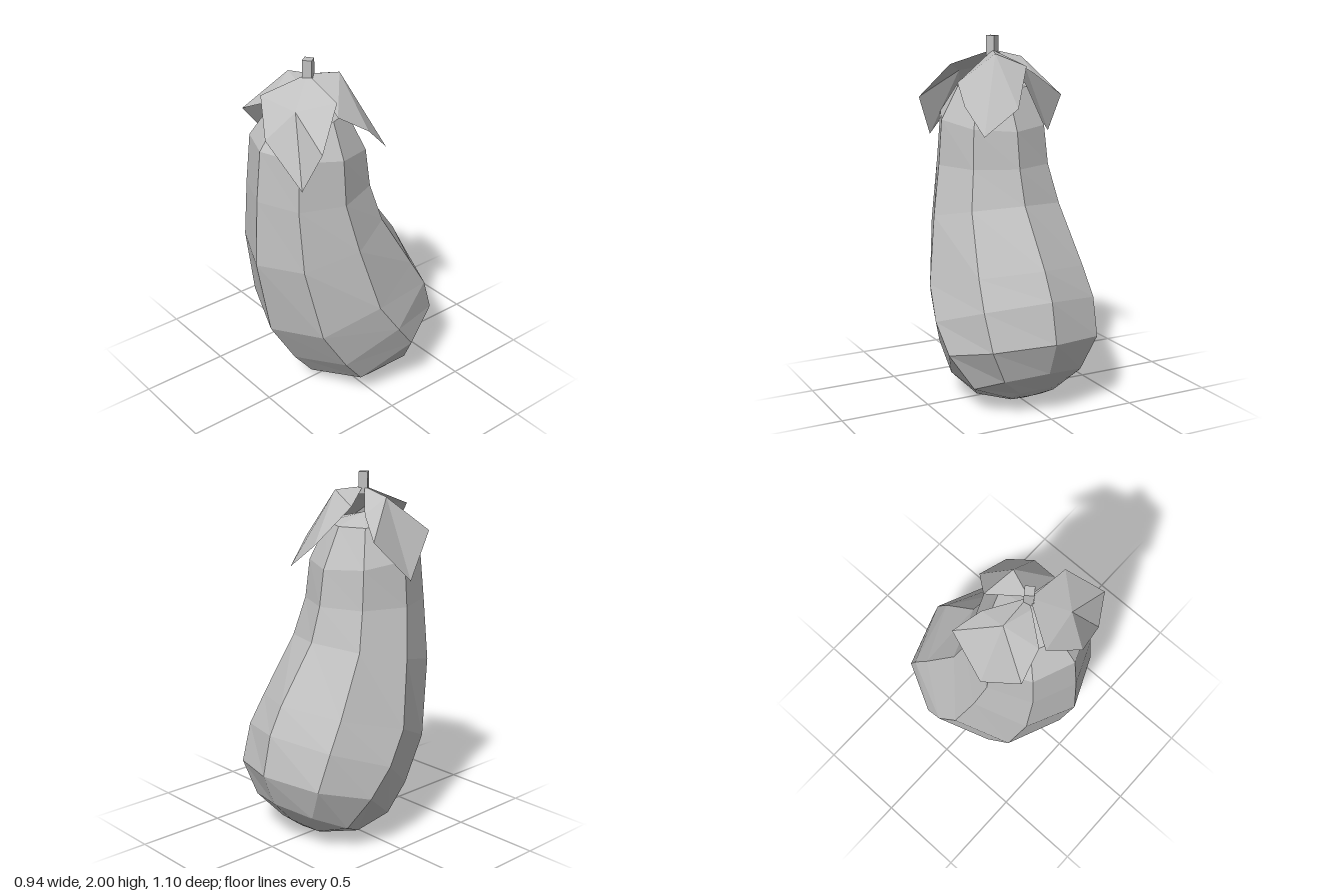
import * as THREE from 'three';

const grey = new THREE.MeshStandardMaterial({ color: 0xc0c0c0, flatShading: true, side: THREE.DoubleSide });
grey.name = 'pale grey';

const v = (x, y, z) => new THREE.Vector3(x, y, z);

// Flat-shaded mesh from a list of triangles
function facetMesh(name, tris) {
  const geometry = new THREE.BufferGeometry().setFromPoints(tris.flat());
  geometry.computeVertexNormals();
  const mesh = new THREE.Mesh(geometry, grey);
  mesh.name = name;
  return mesh;
}

// Fruit: tilted eight-sided rings; each gives front, middle and back as [z, y] plus half width
function makeFruit() {
  const sections = [
    [[0.39, 1.72], [0.19, 1.73], [0.00, 1.72], 0.21],
    [[0.50, 1.58], [0.20, 1.55], [-0.11, 1.50], 0.305],
    [[0.53, 1.30], [0.20, 1.30], [-0.14, 1.30], 0.325],
    [[0.55, 0.92], [0.15, 1.03], [-0.20, 1.11], 0.38],
    [[0.47, 0.47], [0.06, 0.67], [-0.42, 0.80], 0.45],
    [[0.31, 0.20], [-0.06, 0.49], [-0.50, 0.65], 0.472],
    [[0.19, 0.05], [-0.18, 0.33], [-0.55, 0.43], 0.45],
    [[0.00, 0.00], [-0.24, 0.14], [-0.48, 0.25], 0.33],
    [[-0.20, 0.02], [-0.28, 0.07], [-0.36, 0.12], 0.14],
  ];
  const sides = 8;
  const rings = sections.map(([front, mid, back, half]) =>
    Array.from({ length: sides }, (_, i) => {
      const a = (i / sides) * Math.PI * 2;
      const c = Math.cos(a);
      const end = c > 0 ? front : back;
      const t = Math.abs(c);
      return v(Math.sin(a) * half, mid[1] + (end[1] - mid[1]) * t, mid[0] + (end[0] - mid[0]) * t);
    }));
  const tris = [];
  const top = v(0, 1.78, 0.19);
  const bottom = v(0, 0.06, -0.285);
  const last = rings.length - 1;
  for (let i = 0; i < sides; i++) {
    const n = (i + 1) % sides;
    tris.push([top, rings[0][i], rings[0][n]]);
    for (let r = 0; r < last; r++) {
      const a = rings[r], b = rings[r + 1];
      tris.push([a[i], b[i], b[n]], [a[i], b[n], a[n]]);
    }
    tris.push([bottom, rings[last][n], rings[last][i]]);
  }
  return facetMesh('fruit', tris);
}

// Calyx leaf: a fan of facets from a ridge point, outline anticlockwise seen from outside
function makeLeaf(name, ridge, outline) {
  const points = outline.map((p) => v(...p));
  return facetMesh(name, points.map((p, i) => [v(...ridge), p, points[(i + 1) % points.length]]));
}

export function createModel() {
  const model = new THREE.Group();
  model.name = 'eggplant';
  model.add(makeFruit());

  // Three drooping leaves; outlines start at the stem
  model.add(makeLeaf('frontLeaf', [0.12, 1.80, 0.36], [
    [0, 1.92, 0.19], [-0.12, 1.82, 0.40], [0.05, 1.66, 0.50],
    [0.27, 1.44, 0.44], [0.36, 1.66, 0.38], [0.25, 1.85, 0.20],
  ]));
  model.add(makeLeaf('rightLeaf', [-0.18, 1.88, 0.18], [
    [-0.01, 1.92, 0.18], [-0.17, 1.80, 0.03], [-0.31, 1.68, -0.04],
    [-0.36, 1.45, 0.19], [-0.29, 1.69, 0.40], [-0.12, 1.77, 0.36], [-0.02, 1.86, 0.22],
  ]));
  model.add(makeLeaf('backLeaf', [0.06, 1.91, 0.03], [
    [0, 1.92, 0.18], [0.22, 1.75, 0.17], [0.26, 1.64, 0.00], [0.22, 1.49, -0.155],
    [0.02, 1.63, -0.16], [-0.11, 1.84, -0.01],
  ]));

  // Short square stem
  const stem = new THREE.Mesh(new THREE.BoxGeometry(0.05, 0.12, 0.05), grey);
  stem.name = 'stem';
  stem.rotation.y = Math.PI / 5;
  stem.position.set(0, 1.94, 0.185);
  model.add(stem);

  return model;
}
